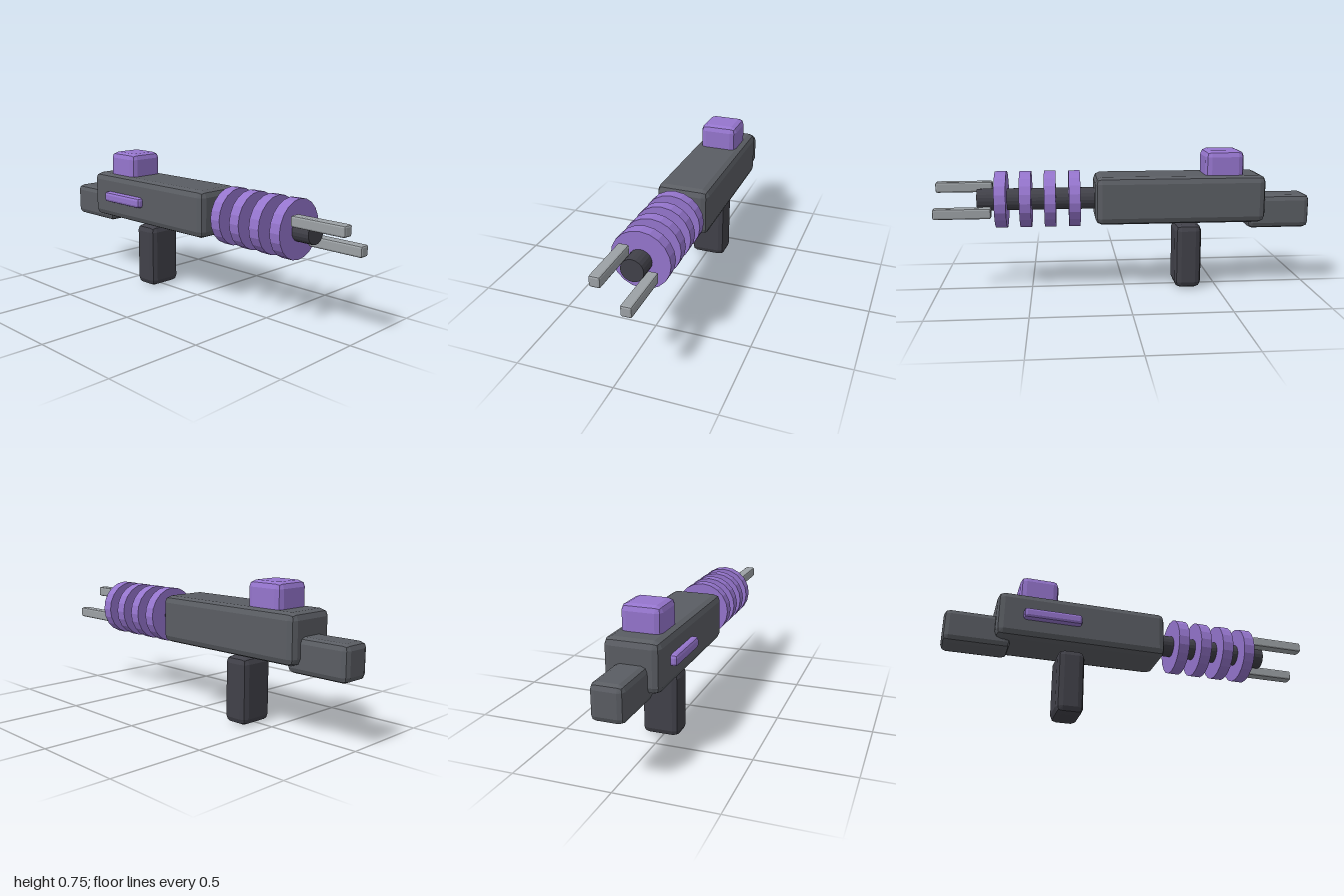
import * as THREE from 'three';
import { RoundedBoxGeometry } from 'three/addons/geometries/RoundedBoxGeometry.js';

export function createModel() {
  const model = new THREE.Group();
  model.name = 'coilBlaster';

  const material = (name, color) => {
    const m = new THREE.MeshStandardMaterial({ color, flatShading: true });
    m.name = name;
    return m;
  };
  const gunmetal = material('gunmetal', 0x5a5d63);
  const charcoal = material('charcoal', 0x414149);
  const purple = material('purple', 0x9575cd);
  const steel = material('steel', 0x9ca1a5);

  const add = (name, geometry, mat, x, y, z) => {
    const mesh = new THREE.Mesh(geometry, mat);
    mesh.name = name;
    mesh.position.set(x, y, z);
    model.add(mesh);
    return mesh;
  };

  // Bevelled box given by its [min, max] range on each axis
  const block = (name, mat, [x0, x1], [y0, y1], [z0, z1], bevel) =>
    add(name, new RoundedBoxGeometry(x1 - x0, y1 - y0, z1 - z0, 1, bevel), mat,
      (x0 + x1) / 2, (y0 + y1) / 2, (z0 + z1) / 2);

  // Faceted cylinder lying along x on the barrel axis
  const axisY = 0.49, axisZ = -0.011;
  const rod = (name, mat, x0, x1, radius, sides) =>
    add(name, new THREE.CylinderGeometry(radius, radius, x1 - x0, sides).rotateZ(-Math.PI / 2),
      mat, (x0 + x1) / 2, axisY, axisZ);

  // Receiver, stock and grip
  block('body', gunmetal, [-0.744, 0.16], [0.365, 0.617], [-0.151, 0.128], 0.036);
  block('stock', gunmetal, [-1, -0.66], [0.322, 0.502], [-0.093, 0.07], 0.03);
  block('grip', charcoal, [-0.412, -0.269], [0, 0.35], [-0.11, 0.088], 0.034);

  // Power cell on top and strip on the front side
  block('powerCell', purple, [-0.63, -0.424], [0.54, 0.745], [-0.114, 0.091], 0.032);
  block('sideStrip', purple, [-0.61, -0.305], [0.463, 0.52], [0.105, 0.161], 0.016);

  // Barrel with four coil rings
  rod('barrel', charcoal, 0.13, 0.776, 0.058, 20);
  for (let i = 0; i < 4; i++) {
    const x = 0.266 + i * 0.128;
    rod('coilRing' + (i + 1), purple, x - 0.03, x + 0.03, 0.15, 20);
  }

  // Two diagonal muzzle prongs
  for (const [name, side] of [['upperProng', 1], ['lowerProng', -1]]) {
    const y = axisY + side * 0.059, z = axisZ + side * 0.07;
    block(name, steel, [0.7, 1], [y - 0.028, y + 0.028], [z - 0.028, z + 0.028], 0.01);
  }

  return model;
}
